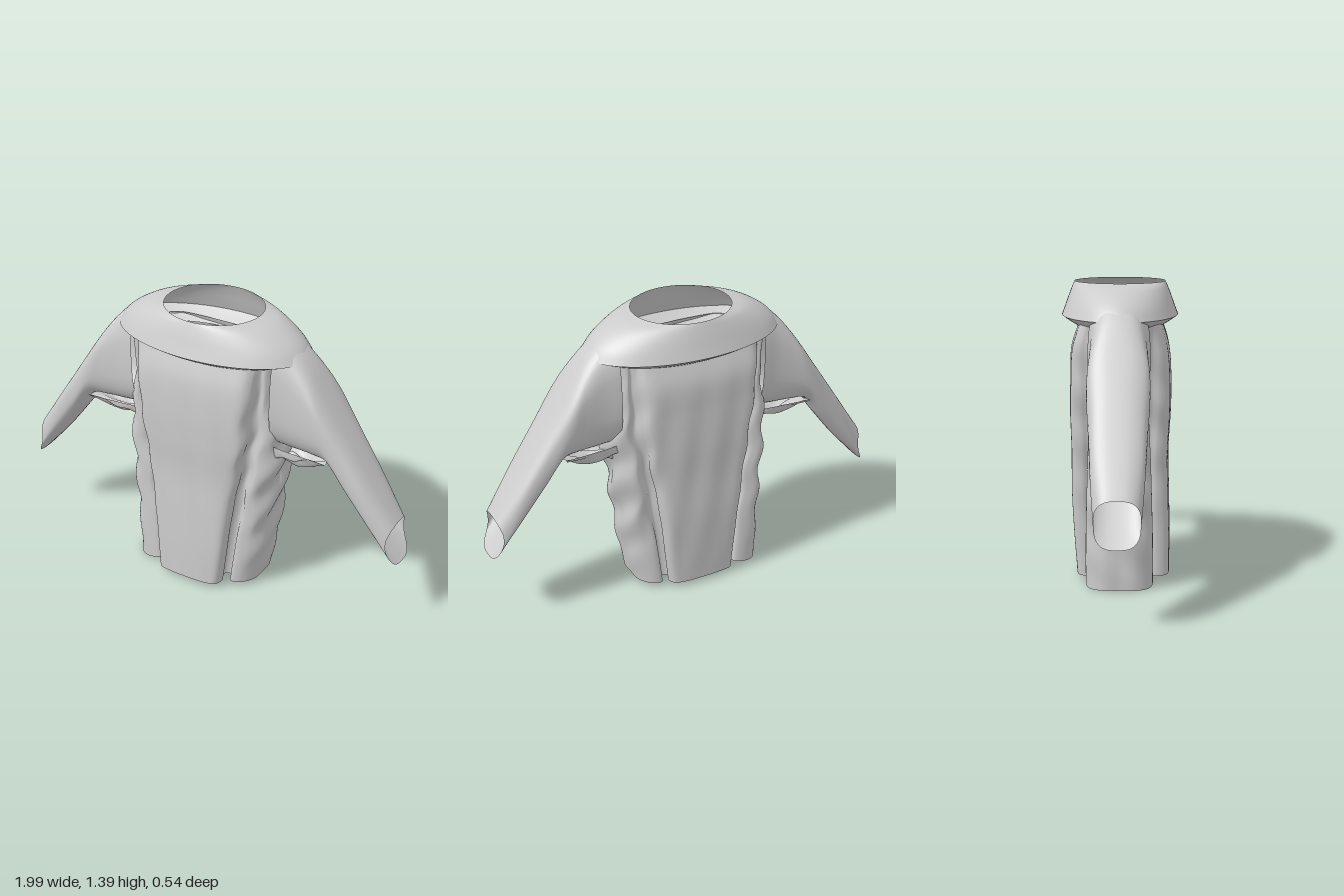
import * as THREE from 'three';

const V = (x, y, z) => new THREE.Vector3(x, y, z);

// Smooth surface through rings of points; rings may be closed or open
function loft(rings, closed, around, along) {
  const rows = rings.map((r) => {
    const curve = new THREE.CatmullRomCurve3(r, closed, 'centripetal');
    const n = closed ? around : around + 1;
    return Array.from({ length: n }, (_, i) => curve.getPoint(i / around));
  });
  const n = rows[0].length;
  const pos = [], idx = [];
  const cols = rows[0].map((_, i) =>
    new THREE.CatmullRomCurve3(rows.map((r) => r[i]), false, 'centripetal').getPoints(along));
  for (let j = 0; j <= along; j++) {
    for (let i = 0; i < n; i++) pos.push(cols[i][j].x, cols[i][j].y, cols[i][j].z);
  }
  for (let j = 0; j < along; j++) {
    for (let i = 0; i < around; i++) {
      const a = j * n + i, b = j * n + ((i + 1) % n);
      idx.push(a, a + n, b, b, a + n, b + n);
    }
  }
  const g = new THREE.BufferGeometry();
  g.setAttribute('position', new THREE.Float32BufferAttribute(pos, 3));
  g.setIndex(idx);
  g.computeVertexNormals();
  return g;
}

function ellipse(rx, rz, y, n = 32) {
  return Array.from({ length: n }, (_, i) => {
    const a = (i / n) * Math.PI * 2;
    return V(rx * Math.sin(a), y, rz * Math.cos(a));
  });
}

// Quarter outline of the draped body: centre panel, pleat, side lobe
function quarter(depth, c, k, w) {
  const mix = (a, b) => a + (b - a) * k;
  return [
    [0, depth], [0.6 * c, depth * 0.985], [c, depth * 0.92],
    [mix(c + 0.03, c + 0.015), mix(depth * 0.82, depth * 0.72)],
    [mix(c + 0.045, c - 0.005), mix(0.15, 0.12)],
    [mix(c + 0.055, c + 0.025), mix(0.135, 0.1)],
    [mix(w - 0.03, c + 0.05), mix(0.13, 0.15)],
    [mix(w - 0.01, w - 0.05), mix(0.11, 0.14)],
    [w - 0.004, 0.08], [w, 0],
  ];
}

function bodyRing([y, front, back, c, k, wL, wR]) {
  const cR = (c * wR) / wL;
  const put = (sx, sz, q) => q.map(([x, z]) => V(sx * x, y, sz * z));
  const fr = put(1, 1, quarter(front, cR, k, wR));
  const br = put(1, -1, quarter(back, cR, k, wR)).reverse();
  const bl = put(-1, -1, quarter(back, c, k, wL));
  const fl = put(-1, 1, quarter(front, c, k, wL)).reverse();
  return [...fr, ...br.slice(1), ...bl.slice(1), ...fl.slice(1, -1)];
}

// Soft creases running down the cloth, stronger towards the sides
function wrinkle(g) {
  const p = g.attributes.position;
  for (let i = 0; i < p.count; i++) {
    const x = p.getX(i), y = p.getY(i), z = p.getZ(i);
    const side = THREE.MathUtils.smoothstep(Math.abs(x), 0.16, 0.34);
    const mid = Math.sin(Math.PI * THREE.MathUtils.clamp(y / 1.2, 0, 1));
    p.setX(i, x + Math.sign(x) * side * mid * 0.012 * Math.sin(y * 27 + z * 22));
    p.setZ(i, z + Math.sign(z) * mid * (0.003 + 0.008 * side) * Math.sin(x * 38 + y * 5));
    // uneven hem
    const hem = 1 - THREE.MathUtils.smoothstep(y, 0.02, 0.3);
    if (x < -0.15) p.setY(i, y - hem * 0.025 * side);
  }
  g.computeVertexNormals();
  return g;
}

// Sleeve ring between a top and a bottom point; bow pulls the sides inward
function sleeveRing(s, [tx, ty, bx, by, d, bow = 0]) {
  const pw = (v) => Math.sign(v) * Math.abs(v) ** 0.72;
  return Array.from({ length: 24 }, (_, i) => {
    const a = (i / 24) * Math.PI * 2;
    const u = (1 - pw(Math.cos(a))) / 2, v = pw(Math.sin(a));
    return V(s * (tx + (bx - tx) * u - bow * Math.abs(v) * (1 - (2 * u - 1) ** 2)),
      ty + (by - ty) * u, d * v);
  });
}

// Crumpled cloth hanging under the armpit
function flapRing(s, [x, sag, half], j) {
  return Array.from({ length: 13 }, (_, i) => {
    const a = (i / 12) * Math.PI;
    const crumple = i % 12 ? 0.25 * sag * Math.sin(i * 2.1 + j * 1.7) : 0;
    return V(s * x, 0.81 - sag * Math.sin(a) + crumple, half * Math.cos(a));
  });
}

export function createModel() {
  const group = new THREE.Group();
  const cloth = new THREE.MeshStandardMaterial({ color: 0xcccccc, side: THREE.DoubleSide });
  cloth.name = 'light grey cloth';
  const add = (name, geometry) => {
    const m = new THREE.Mesh(geometry, cloth);
    m.name = name;
    group.add(m);
  };

  // Shoulder yoke with open neck, and its turned-under edge
  add('yoke', loft([
    ellipse(0.235, 0.211, 1.39), ellipse(0.32, 0.22, 1.37), ellipse(0.395, 0.236, 1.33),
    ellipse(0.45, 0.252, 1.285), ellipse(0.485, 0.27, 1.237),
  ], true, 96, 16));
  add('yokeUnderside', loft([
    ellipse(0.485, 0.27, 1.237), ellipse(0.43, 0.235, 1.212), ellipse(0.375, 0.19, 1.185),
  ], true, 96, 4));

  // Body: height, front, back, panel half width, pleat amount, half width each side
  add('body', wrinkle(loft([
    [1.215, 0.195, 0.185, 0.28, 0.1, 0.385, 0.37],
    [1.1, 0.228, 0.222, 0.27, 0.2, 0.375, 0.365],
    [0.95, 0.238, 0.228, 0.26, 0.35, 0.385, 0.38],
    [0.78, 0.235, 0.23, 0.24, 0.5, 0.395, 0.395],
    [0.6, 0.225, 0.225, 0.22, 0.7, 0.39, 0.365],
    [0.4, 0.23, 0.225, 0.2, 0.85, 0.38, 0.335],
    [0.2, 0.235, 0.215, 0.185, 1, 0.375, 0.31],
    [0.027, 0.235, 0.203, 0.175, 1, 0.37, 0.275],
  ].map(bodyRing), true, 216, 64)));

  // Sleeves and the loose cloth beneath them
  for (const s of [1, -1]) {
    const side = s > 0 ? 'left' : 'right';
    add(side + 'Sleeve', loft([
      [0.37, 1.335, 0.36, 0.81, 0.14],
      [0.44, 1.29, 0.45, 0.8, 0.13],
      [0.505, 1.225, 0.56, 0.795, 0.132],
      [0.565, 1.145, 0.64, 0.785, 0.138],
      [0.69, 0.96, 0.75, 0.645, 0.127],
      [0.83, 0.75, 0.87, 0.49, 0.115],
      [0.965, 0.55, 0.995, 0.35, 0.1, 0.03],
    ].map((r) => sleeveRing(s, r)), true, 48, 40));
    const k = s > 0 ? 1 : 0.75;
    add(side + 'UnderarmFold', loft([
      [0.35, 0.1 * k, 0.1], [0.42, 0.08 * k, 0.11], [0.48, 0.09 * k, 0.115],
      [0.55, 0.065 * k, 0.12], [0.635, 0.02, 0.125],
    ].map((r, j) => flapRing(s, r, j)), false, 36, 16));
  }
  return group;
}
